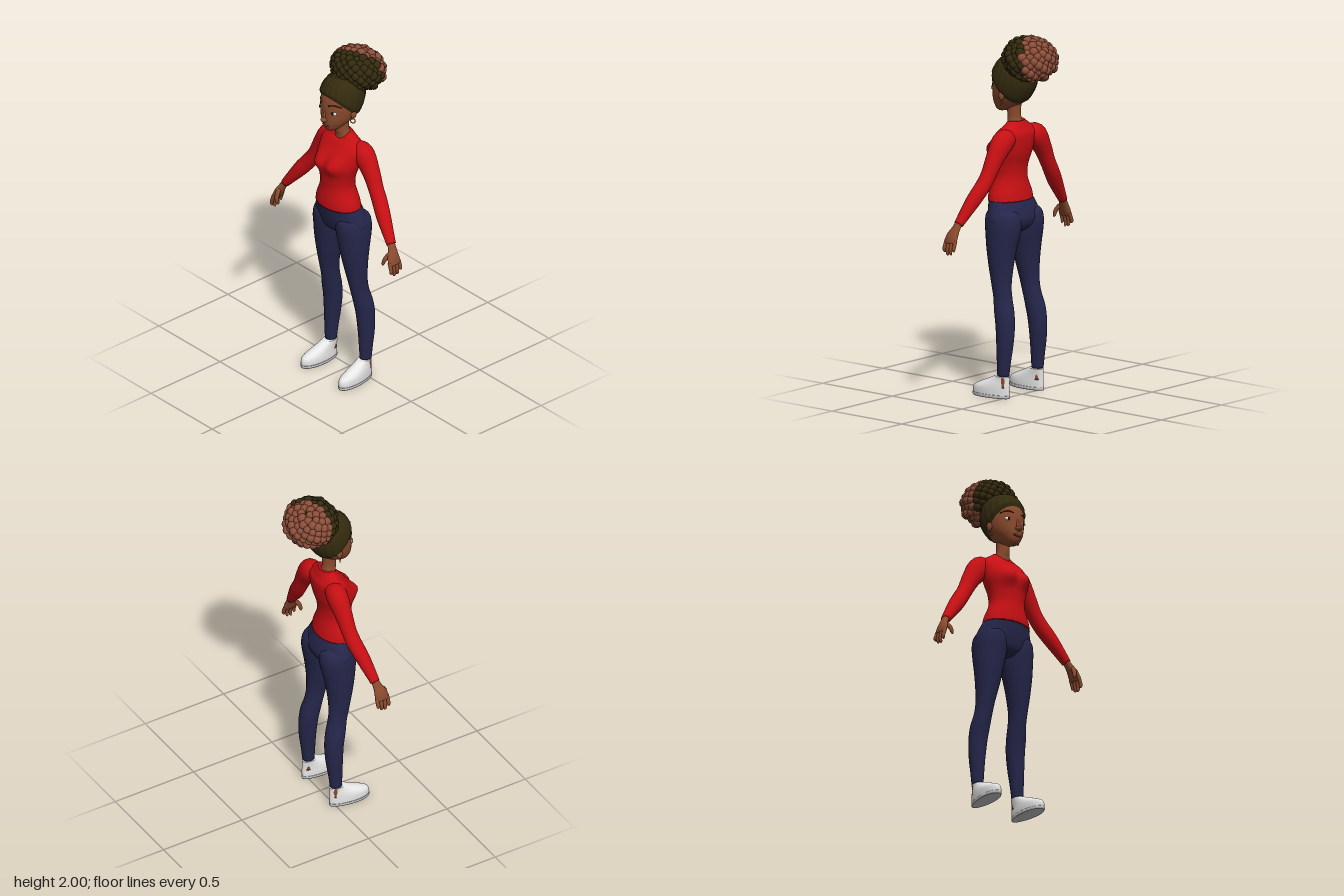
import * as THREE from 'three';
import { mergeGeometries } from 'three/addons/utils/BufferGeometryUtils.js';

const mat = (name, color) => Object.assign(new THREE.MeshStandardMaterial({ color }), { name });

// Smooth skin over elliptical sections. Row: [x, y, z, radius across, radius toward front].
// flat keeps the rings horizontal (rows then run upward); otherwise they follow the path.
function loft(rows, { flat = false, n = 28, steps = 5, deform } = {}) {
  const at = (i) => rows[Math.max(0, Math.min(rows.length - 1, i))];
  const rings = [];
  for (let i = 0; i < rows.length - 1; i++) {
    for (let k = 0; k < steps || (k === steps && i === rows.length - 2); k++) {
      const t = k / steps;
      rings.push(at(i).map((p1, c) => {
        const p0 = at(i - 1)[c], p2 = at(i + 1)[c], p3 = at(i + 2)[c];
        return p1 + 0.5 * t * (p2 - p0 + t * (2 * p0 - 5 * p1 + 4 * p2 - p3 + t * (3 * (p1 - p2) + p3 - p0)));
      }));
    }
  }
  const pos = [], idx = [], front = new THREE.Vector3(0, 0, 1);
  const centre = (r) => new THREE.Vector3(r[0], r[1], r[2]);
  rings.forEach((r, i) => {
    const T = flat ? new THREE.Vector3(0, 1, 0)
      : centre(rings[Math.min(i + 1, rings.length - 1)]).sub(centre(rings[Math.max(i - 1, 0)])).normalize();
    const side = T.clone().cross(front).normalize();
    const fwd = side.clone().cross(T);
    for (let j = 0; j < n; j++) {
      const a = (j / n) * Math.PI * 2;
      const v = centre(r).addScaledVector(side, Math.cos(a) * r[3]).addScaledVector(fwd, Math.sin(a) * r[4]);
      if (deform) deform(v, a, i / (rings.length - 1), r);
      pos.push(v.x, v.y, v.z);
      if (i < rings.length - 1) {
        const p = i * n + j, q = i * n + (j + 1) % n;
        idx.push(p, p + n, q, q, p + n, q + n);
      }
    }
  });
  // end caps
  const last = (rings.length - 1) * n, c0 = rings.length * n;
  for (const start of [0, last]) {
    const m = new THREE.Vector3();
    for (let j = 0; j < n; j++) m.add(new THREE.Vector3().fromArray(pos, (start + j) * 3));
    m.divideScalar(n);
    pos.push(m.x, m.y, m.z);
  }
  for (let j = 0; j < n; j++) {
    const k = (j + 1) % n;
    idx.push(c0, j, k, c0 + 1, last + k, last + j);
  }
  const g = new THREE.BufferGeometry();
  g.setAttribute('position', new THREE.Float32BufferAttribute(pos, 3));
  g.setIndex(idx);
  g.computeVertexNormals();
  return g;
}

const blob = (x, y, z, a, b, c, turn = 0) =>
  new THREE.SphereGeometry(1, 18, 12).scale(a, b, c).rotateY(turn).translate(x, y, z);

export function createModel() {
  const model = new THREE.Group();
  const skin = mat('skin', 0x8a4a2d), hair = mat('darkHair', 0x332a0e), tips = mat('brownHair', 0x8c4e39);
  const red = mat('redShirt', 0xc50f13), navy = mat('navyTrousers', 0x25264a), white = mat('whiteShoe', 0xe8e8e8);
  const sole = mat('sole', 0xc4c4c4), black = mat('iris', 0x1a100a), lip = mat('lips', 0x6e3426), gold = mat('gold', 0xa8743a);
  const add = (name, geo, material) => {
    const m = new THREE.Mesh(geo, material);
    m.name = name;
    model.add(m);
  };

  // Shirt body with bust and a neckline that dips in front
  add('shirt', loft([
    [0, 1.08, 0.083, 0.146, 0.104], [0, 1.12, 0.085, 0.137, 0.1], [0, 1.2, 0.088, 0.106, 0.088],
    [0, 1.27, 0.088, 0.112, 0.091], [0, 1.34, 0.08, 0.134, 0.102], [0, 1.4, 0.064, 0.145, 0.095],
    [0, 1.45, 0.047, 0.148, 0.078], [0, 1.48, 0.043, 0.115, 0.06], [0, 1.505, 0.043, 0.078, 0.049],
    [0, 1.522, 0.044, 0.056, 0.043]], {
    flat: true, n: 48,
    deform(v, a, t) {
      const f = Math.max(0, Math.sin(a));
      v.z += 0.038 * f * Math.exp(-(((Math.abs(v.x) - 0.06) / 0.05) ** 2) - ((v.y - 1.355) / 0.05) ** 2);
      v.y -= 0.035 * f * f * Math.max(0, (t - 0.75) / 0.25);
    },
  }), red);

  // Trouser seat
  add('trouserHips', loft([
    [0, 0.905, 0.058, 0.1, 0.05], [0, 0.935, 0.057, 0.16, 0.088], [0, 0.98, 0.057, 0.182, 0.104],
    [0, 1.03, 0.067, 0.168, 0.104], [0, 1.09, 0.083, 0.142, 0.097]], { flat: true, n: 40 }), navy);

  // Neck
  add('neck', loft([
    [0, 1.44, 0.045, 0.07, 0.05], [0, 1.5, 0.045, 0.051, 0.044], [0, 1.54, 0.056, 0.036, 0.039],
    [0, 1.64, 0.056, 0.037, 0.042]], { flat: true }), skin);

  // Head, and a hair cap that emerges from it above a slanting hairline
  const headRows = [
    [0, 1.562, 0.142, 0.018, 0.018], [0, 1.575, 0.125, 0.042, 0.046], [0, 1.6, 0.105, 0.064, 0.076],
    [0, 1.63, 0.09, 0.083, 0.095], [0, 1.67, 0.075, 0.097, 0.11], [0, 1.72, 0.062, 0.105, 0.122],
    [0, 1.77, 0.055, 0.104, 0.12], [0, 1.81, 0.05, 0.092, 0.105], [0, 1.845, 0.05, 0.062, 0.075],
    [0, 1.86, 0.05, 0.015, 0.02]];
  add('head', loft(headRows, { flat: true, n: 40 }), skin);
  add('hairCap', loft(headRows, {
    flat: true, n: 120, steps: 8,
    deform(v, a, t, r) {
      const above = THREE.MathUtils.clamp((v.y - 1.607 - v.z) / 0.03, -0.6, 1);
      const out = 0.013 * above + (above > 0 ? 0.0015 * above * Math.cos(a * 20) : 0);
      v.x += Math.cos(a) * out;
      v.z += Math.sin(a) * out;
      v.y += out * Math.max(0, (r[1] - 1.77) / 0.09);
    },
  }), hair);

  // Curly bun: lumps spread over a tilted ellipsoid, lighter toward the back
  const lumps = { dark: [], light: [] }, N = 170;
  const tilt = new THREE.Euler(-0.3, 0, 0);
  for (let i = 0; i < N; i++) {
    const y = 1 - (2 * (i + 0.5)) / N, a = i * 2.39996, w = Math.sqrt(1 - y * y);
    const grow = 1 + 0.035 * Math.sin(i * 12.9898);
    const p = new THREE.Vector3(Math.cos(a) * w * 0.142, y * 0.1, Math.sin(a) * w * 0.128).multiplyScalar(grow)
      .applyEuler(tilt).add(new THREE.Vector3(0, 1.873, -0.06));
    const r = 0.024 + 0.003 * Math.sin(i * 78.233);
    const back = p.z + 0.33 * p.x - 0.25 * (p.y - 1.88) < -0.06;
    lumps[back ? 'light' : 'dark'].push(new THREE.SphereGeometry(r, 12, 8).translate(p.x, p.y, p.z));
  }
  lumps.dark.push(new THREE.SphereGeometry(1, 24, 16).scale(0.135, 0.092, 0.12).rotateX(-0.3).translate(0, 1.873, -0.06));
  add('bunFront', mergeGeometries(lumps.dark), hair);
  add('bunBack', mergeGeometries(lumps.light), tips);

  // Nose and mouth
  add('nose', mergeGeometries([blob(0, 1.64, 0.187, 0.019, 0.014, 0.021), blob(0, 1.665, 0.18, 0.01, 0.035, 0.012)]), skin);
  add('mouth', blob(0, 1.603, 0.178, 0.025, 0.008, 0.009), lip);

  for (const s of [1, -1]) {
    const side = s > 0 ? 'left' : 'right';
    const mirror = (rows) => rows.map(([x, ...rest]) => [x * s, ...rest]);
    const part = (name, rows, material, opt) => add(side + name, loft(mirror(rows), opt), material);

    // Face details
    add(side + 'Eye', blob(s * 0.052, 1.692, 0.165, 0.021, 0.01, 0.008, s * 0.3), white);
    add(side + 'Iris', blob(s * 0.051, 1.692, 0.17, 0.009, 0.0095, 0.006, s * 0.3), black);
    add(side + 'Brow', new THREE.TubeGeometry(new THREE.CatmullRomCurve3([
      new THREE.Vector3(s * 0.025, 1.732, 0.178), new THREE.Vector3(s * 0.055, 1.74, 0.164),
      new THREE.Vector3(s * 0.085, 1.728, 0.133)]), 12, 0.004, 6), hair);
    add(side + 'Ear', blob(s * 0.1, 1.667, 0.062, 0.012, 0.026, 0.018), skin);
    add(side + 'Earring', new THREE.TorusGeometry(0.013, 0.003, 8, 20).rotateY(s * 0.6).translate(s * 0.099, 1.627, 0.066), gold);

    // Sleeve
    part('Sleeve', [
      [0.07, 1.43, 0.03, 0.045, 0.045], [0.135, 1.418, 0.023, 0.066, 0.058], [0.2, 1.335, 0.025, 0.052, 0.048],
      [0.245, 1.255, 0.03, 0.043, 0.042], [0.285, 1.195, 0.038, 0.043, 0.042], [0.335, 1.13, 0.055, 0.042, 0.04],
      [0.385, 1.065, 0.07, 0.033, 0.034], [0.432, 1.003, 0.083, 0.024, 0.027]], red);

    // Hand: palm, four fingers and thumb
    part('Palm', [
      [0.42, 1.025, 0.08, 0.018, 0.022], [0.445, 0.983, 0.088, 0.018, 0.025], [0.466, 0.942, 0.098, 0.019, 0.038],
      [0.479, 0.908, 0.101, 0.014, 0.041], [0.482, 0.9, 0.101, 0.007, 0.034]], skin);
    [0.852, 0.836, 0.84, 0.86].forEach((tip, i) => {
      const z = 0.134 - i * 0.022;
      part('Finger' + (i + 1), [
        [0.474, 0.92, z, 0.01, 0.01], [0.487, 0.885, z, 0.0105, 0.0105], [0.491, (tip + 0.885) / 2, z, 0.0095, 0.0095],
        [0.488, tip + 0.008, z, 0.008, 0.008], [0.487, tip, z, 0.002, 0.002]], skin, { n: 12, steps: 3 });
    });
    part('Thumb', [
      [0.455, 0.968, 0.108, 0.013, 0.013], [0.443, 0.935, 0.137, 0.012, 0.012], [0.436, 0.905, 0.145, 0.009, 0.009],
      [0.434, 0.893, 0.146, 0.002, 0.002]], skin, { n: 12, steps: 3 });

    // Trouser leg
    part('TrouserLeg', [
      [0.142, 0.125, 0.012, 0.031, 0.034], [0.141, 0.2, 0.009, 0.036, 0.04], [0.138, 0.3, 0.004, 0.044, 0.049],
      [0.133, 0.4, 0.006, 0.05, 0.055], [0.128, 0.48, 0.018, 0.052, 0.057], [0.12, 0.55, 0.034, 0.047, 0.055],
      [0.116, 0.62, 0.047, 0.05, 0.058], [0.109, 0.72, 0.056, 0.065, 0.07], [0.102, 0.82, 0.058, 0.079, 0.086],
      [0.095, 0.9, 0.055, 0.088, 0.1], [0.092, 0.96, 0.055, 0.09, 0.107], [0.09, 1.01, 0.058, 0.08, 0.1],
      [0.088, 1.04, 0.063, 0.05, 0.07]], navy, { flat: true });

    // Ankle, shoe and sole; the heel is narrower than the toe
    part('Ankle', [[0.143, 0.06, 0.01, 0.027, 0.03], [0.142, 0.14, 0.01, 0.027, 0.03]], skin, { flat: true });
    const shape = {
      flat: true, n: 36,
      deform(v) {
        const f = THREE.MathUtils.clamp((v.z + 0.03) / 0.24, 0, 1);
        v.x = s * (0.147 + (v.x * s - 0.147) * (0.8 + 0.28 * f) + 0.012 * (f - 0.4));
      },
    };
    part('Shoe', [
      [0.147, 0.014, 0.092, 0.045, 0.12], [0.147, 0.04, 0.092, 0.046, 0.12], [0.147, 0.06, 0.086, 0.045, 0.114],
      [0.146, 0.08, 0.066, 0.042, 0.094], [0.144, 0.1, 0.042, 0.038, 0.07], [0.143, 0.122, 0.018, 0.036, 0.046]], white, shape);
    part('Sole', [[0.147, 0, 0.092, 0.045, 0.119], [0.147, 0.008, 0.092, 0.048, 0.123], [0.147, 0.018, 0.092, 0.047, 0.122]], sole, shape);
  }
  return model;
}
